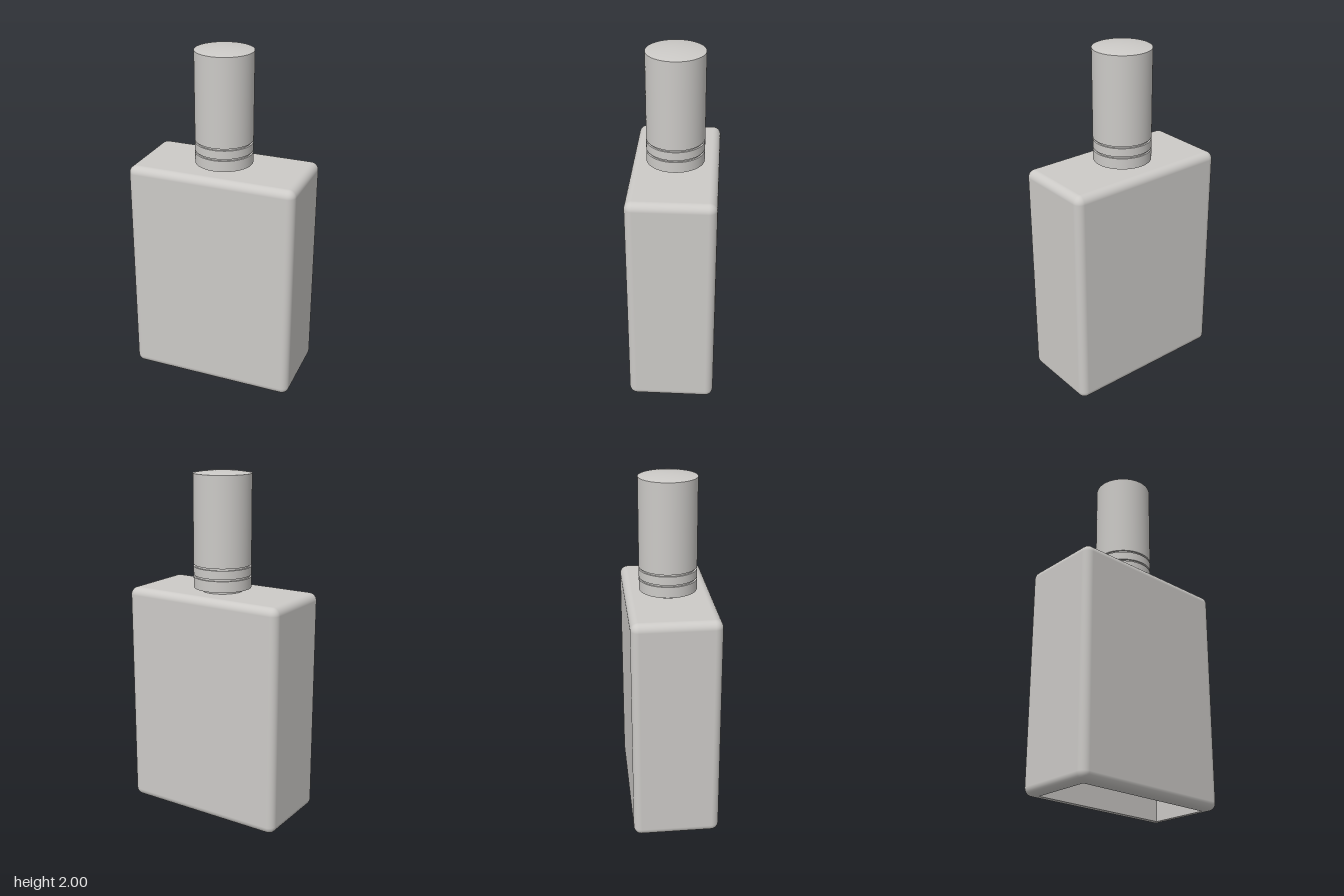
import * as THREE from 'three';

const HX = 0.495, HZ = 0.247, TOP = 1.324, R = 0.045;   // bottle half sizes, height, edge radius
const OX = 0.43, OZ = 0.175, DEPTH = 0.18;              // base recess

// Rounded box shell without its flat top and bottom
function roundedShell(steps = 8) {
  const pos = [], nor = [], idx = [];
  const corners = [[1, 1], [-1, 1], [-1, -1], [1, -1]];
  const count = 4 * (steps + 1);
  const rows = 2 * (steps + 1);
  for (let row = 0; row < rows; row++) {
    const upper = row > steps;
    const phi = ((upper ? row - 1 : row) / steps - 1) * Math.PI / 2;
    const c = Math.cos(phi), s = Math.sin(phi);
    const y = (upper ? TOP - R : R) + R * s;
    corners.forEach(([sx, sz], k) => {
      for (let i = 0; i <= steps; i++) {
        const a = (k + i / steps) * Math.PI / 2;
        const nx = c * Math.cos(a), nz = c * Math.sin(a);
        pos.push(sx * (HX - R) + R * nx, y, sz * (HZ - R) + R * nz);
        nor.push(nx, s, nz);
      }
    });
  }
  for (let row = 0; row < rows - 1; row++) {
    for (let i = 0; i < count; i++) {
      const j = (i + 1) % count;
      const a = row * count + i, b = row * count + j;
      idx.push(a, a + count, b, b, a + count, b + count);
    }
  }
  const g = new THREE.BufferGeometry();
  g.setAttribute('position', new THREE.Float32BufferAttribute(pos, 3));
  g.setAttribute('normal', new THREE.Float32BufferAttribute(nor, 3));
  g.setIndex(idx);
  return g;
}

function rectangle(path, hx, hz) {
  path.moveTo(-hx, -hz).lineTo(hx, -hz).lineTo(hx, hz).lineTo(-hx, hz).closePath();
  return path;
}

export function createModel() {
  const group = new THREE.Group();
  const grey = new THREE.MeshStandardMaterial({ color: 0xcccac7 });
  grey.name = 'warm grey';

  function add(name, geometry, x = 0, y = 0, z = 0) {
    const mesh = new THREE.Mesh(geometry, grey);
    mesh.name = name;
    mesh.position.set(x, y, z);
    group.add(mesh);
    return mesh;
  }

  // Bottle
  add('bottleSides', roundedShell());
  add('bottleShoulder', new THREE.PlaneGeometry(2 * (HX - R), 2 * (HZ - R)).rotateX(-Math.PI / 2), 0, TOP);

  // Base rim around the recess
  const rim = rectangle(new THREE.Shape(), HX - R, HZ - R);
  rim.holes.push(rectangle(new THREE.Path(), OX, OZ));
  add('baseRim', new THREE.ShapeGeometry(rim).rotateX(Math.PI / 2));

  // Recess walls and ceiling, all facing inward
  for (const s of [-1, 1]) {
    add('recessLongWall', new THREE.PlaneGeometry(2 * OX, DEPTH).rotateY(s > 0 ? Math.PI : 0), 0, DEPTH / 2, s * OZ);
    add('recessShortWall', new THREE.PlaneGeometry(2 * OZ, DEPTH).rotateY(-s * Math.PI / 2), s * OX, DEPTH / 2, 0);
  }
  add('recessCeiling', new THREE.PlaneGeometry(2 * OX, 2 * OZ).rotateX(Math.PI / 2), 0, DEPTH);

  // Neck, collar rings, grooves and cap as stacked cylinders: name, radius, bottom, top
  const stack = [
    ['neck', 0.121, TOP - 0.01, 1.345],
    ['lowerCollar', 0.165, 1.342, 1.405],
    ['lowerGroove', 0.155, 1.4, 1.42],
    ['upperCollar', 0.165, 1.416, 1.465],
    ['upperGroove', 0.155, 1.46, 1.48],
    ['cap', 0.165, 1.476, 1.985],
  ];
  for (const [name, r, y0, y1] of stack) {
    add(name, new THREE.CylinderGeometry(r, r, y1 - y0, 64), 0, (y0 + y1) / 2);
  }

  // Shallow domed cap top
  const dome = [];
  for (let i = 0; i <= 8; i++) {
    const t = 1 - i / 8;
    dome.push(new THREE.Vector2(0.165 * t, 1.985 + 0.015 * (1 - t * t)));
  }
  add('capDome', new THREE.LatheGeometry(dome, 64));

  return group;
}
